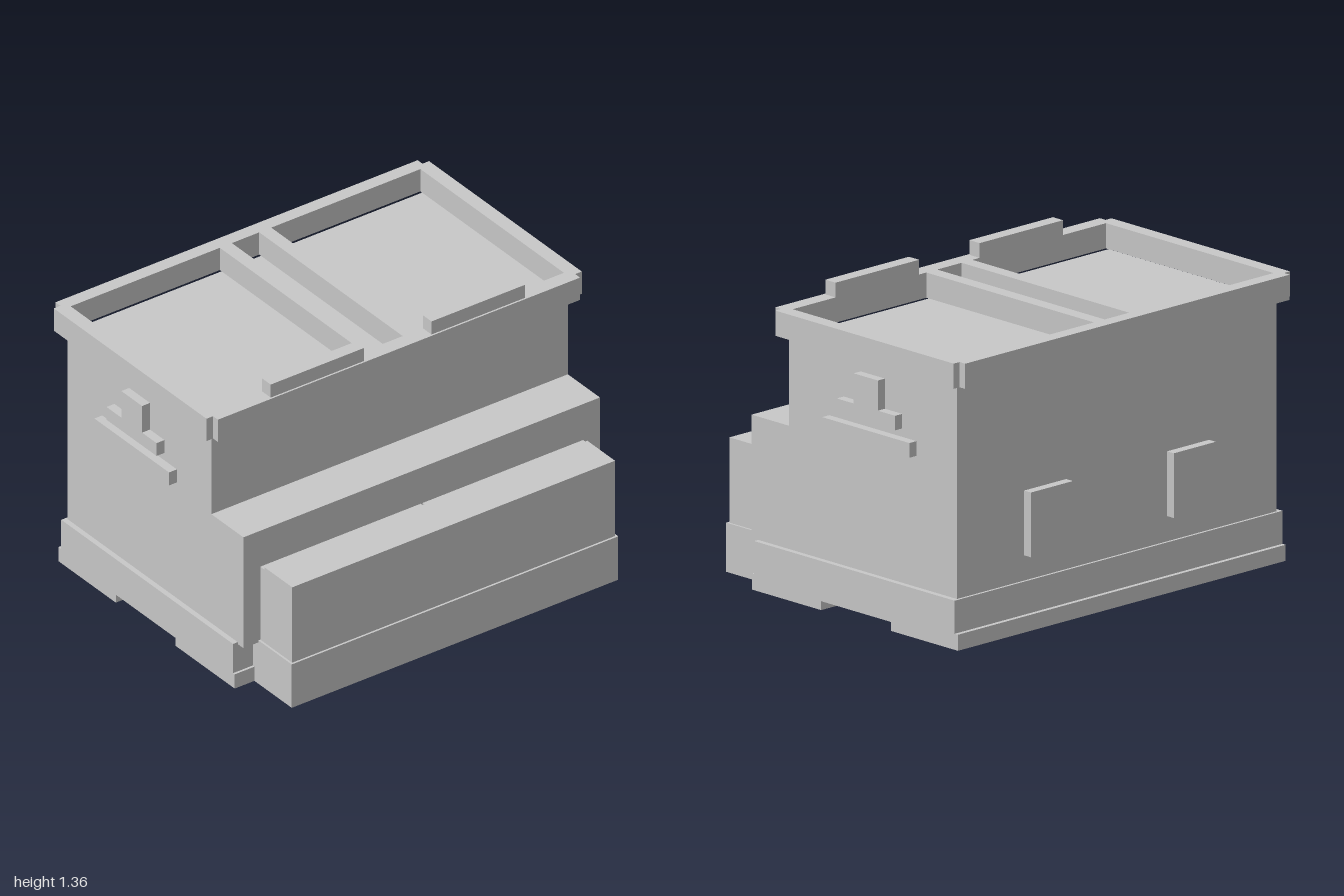
import * as THREE from 'three';

export function createModel() {
  const model = new THREE.Group();
  const grey = new THREE.MeshStandardMaterial({ color: 0xc8c8c8 });
  grey.name = 'grey';

  const add = (name, geometry) => {
    const mesh = new THREE.Mesh(geometry, grey);
    mesh.name = name;
    model.add(mesh);
    return mesh;
  };
  // Box given by its limits on each axis
  const box = (name, x0, x1, y0, y1, z0, z1) => {
    const mesh = add(name, new THREE.BoxGeometry(x1 - x0, y1 - y0, z1 - z0));
    mesh.position.set((x0 + x1) / 2, (y0 + y1) / 2, (z0 + z1) / 2);
  };
  const points = (list) => list.map(([a, b]) => new THREE.Vector2(a, b));
  // Side profile in (z, y), extruded along x from x0 to x1
  const sideProfile = (name, list, x0, x1) => {
    const shape = new THREE.Shape(points(list.map(([z, y]) => [-z, y])));
    const g = new THREE.ExtrudeGeometry(shape, { depth: x1 - x0, bevelEnabled: false });
    g.rotateY(Math.PI / 2);
    g.translate(x0, 0, 0);
    add(name, g);
  };

  // Stepped main body
  sideProfile('body', [
    [0.549, 0.21], [0.549, 0.772], [0.317, 0.772], [0.317, 1.17], [-0.723, 1.17], [-0.723, 0.21],
  ], -0.95, 0.95);

  // Base with a foot ledge and a channel running across the underside
  sideProfile('base', [
    [0.508, 0.22], [0.508, 0.072], [0.52, 0.072], [0.52, 0], [0.092, 0], [0.092, 0.04],
    [-0.34, 0.04], [-0.34, 0], [-0.755, 0], [-0.755, 0.072], [-0.735, 0.072], [-0.735, 0.22],
  ], -0.975, 0.975);

  // Front compartment and its plinth
  box('frontPlinth', -0.87, 0.87, 0, 0.22, 0.5, 0.79);
  box('frontCompartment', -0.86, 0.86, 0.21, 0.602, 0.58, 0.78);

  // Lid frame with notched corners, two large openings and a middle slot
  const [X, B, F, n] = [1, -0.79, 0.385, 0.035];
  const outline = [
    [-X + n, B], [-X + n, B + n], [-X, B + n], [-X, F - n], [-X + n, F - n], [-X + n, F],
    [X - n, F], [X - n, F - n], [X, F - n], [X, B + n], [X - n, B + n], [X - n, B],
  ];
  const lid = new THREE.Shape(points(outline.map(([x, z]) => [x, -z])));
  for (const [x0, x1] of [[-0.932, -0.137], [-0.073, 0.073], [0.137, 0.932]]) {
    lid.holes.push(new THREE.Path(points([[x0, 0.725], [x1, 0.725], [x1, -0.313], [x0, -0.313]])));
  }
  const lidGeometry = new THREE.ExtrudeGeometry(lid, { depth: 0.113, bevelEnabled: false });
  lidGeometry.rotateX(-Math.PI / 2);
  lidGeometry.translate(0, 1.178, 0);
  add('lidFrame', lidGeometry);

  // Mirrored details
  for (const s of [-1, 1]) {
    const pair = (name, a, b, ...rest) => box(name, Math.min(s * a, s * b), Math.max(s * a, s * b), ...rest);
    pair('lidTab', 0.18, 0.677, 1.291, 1.357, 0.313, 0.376);
    pair('hingeStrip', 0.005, 0.86, 0.21, 0.59, 0.545, 0.582);
    pair('rearPanel', 0.3, 0.55, 0.333, 0.623, -0.765, -0.718);
    // Stepped side bracket over a bar
    pair('sideBar', 0.945, 0.992, 0.807, 0.873, -0.472, 0.068);
    sideProfile('sideBracket', [
      [-0.022, 0.911], [-0.022, 0.976], [-0.127, 0.976], [-0.127, 1.111],
      [-0.277, 1.111], [-0.277, 0.976], [-0.384, 0.976], [-0.384, 0.911],
    ], s > 0 ? 0.945 : -0.992, s > 0 ? 0.992 : -0.945);
  }
  return model;
}
